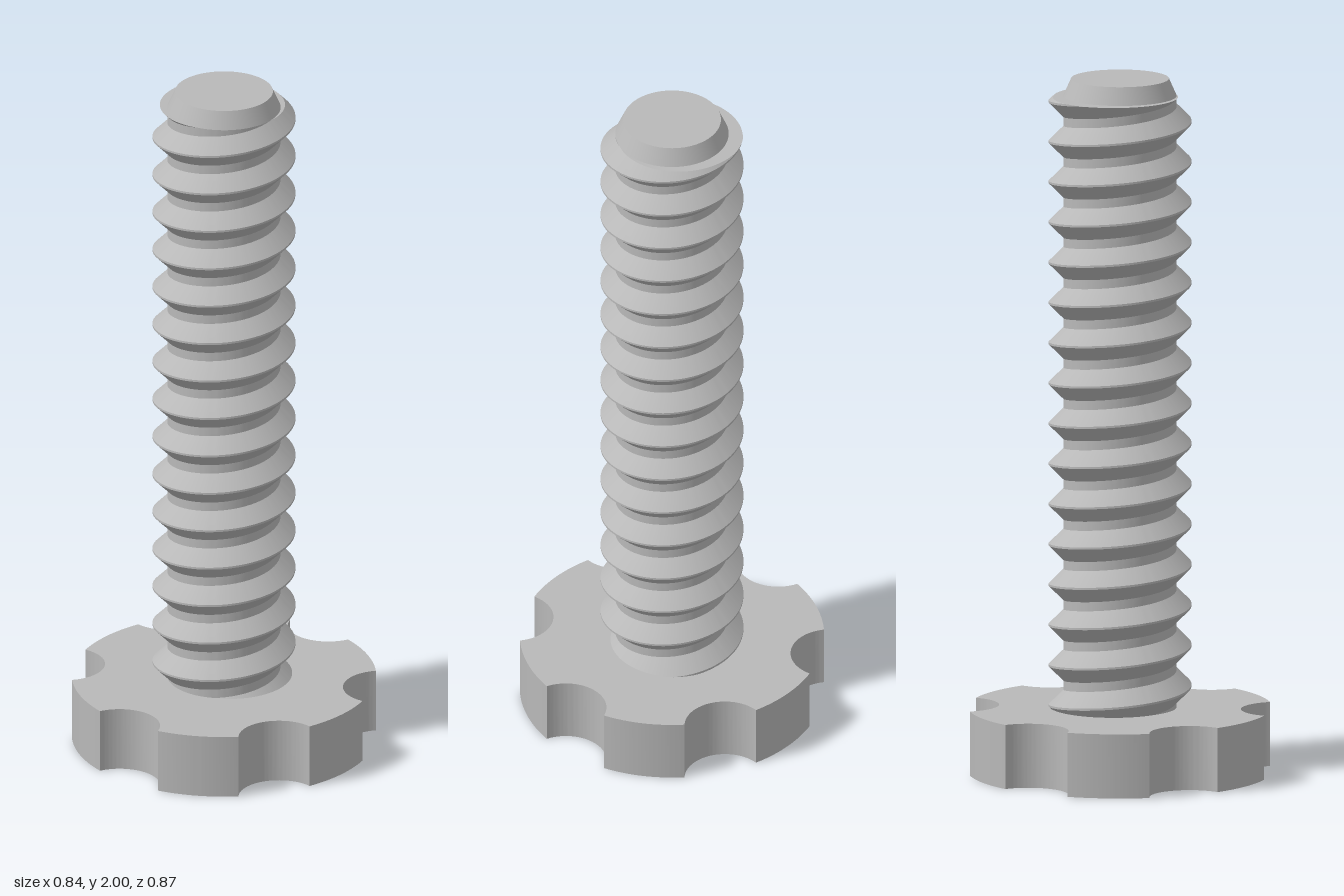
import * as THREE from 'three';
import { toCreasedNormals } from 'three/addons/utils/BufferGeometryUtils.js';

const HEAD_H = 0.185, NECK_Y = 1.95, TOP_Y = 2;
const CORE_R = 0.161, CREST_R = 0.203, TIP_R = 0.139;
const PITCH = 0.1163, CREST_Y = 0.285; // crest height at angle 0
const HALF_CREST = 0.003, HALF_BASE = 0.045;

// Radius of the threaded shaft at angle a and height y
function threadRadius(a, y) {
  const turns = (y - CREST_Y) / PITCH - a / (2 * Math.PI);
  const d = Math.abs(turns - Math.round(turns)) * PITCH;
  const t = THREE.MathUtils.clamp((HALF_BASE - d) / (HALF_BASE - HALF_CREST), 0, 1);
  return CORE_R + t * (CREST_R - CORE_R);
}

// Helical thread trimmed flat at both ends, with the ledge below the tip
function threadGeometry() {
  const segments = 128, lowY = HEAD_H - 0.01, pos = [];
  const polar = (a, r, y) => new THREE.Vector3(r * Math.cos(a), y, -r * Math.sin(a));
  const tri = (a, b, c) => {
    const area = b.clone().sub(a).cross(c.clone().sub(a)).length();
    if (area > 1e-9) pos.push(...a, ...b, ...c);
  };
  const quad = (a, b, c, d) => { tri(a, b, c); tri(a, c, d); };

  const column = (a) => {
    const points = [];
    for (let n = -3; n < 17; n++) {
      for (const offset of [-HALF_BASE, -HALF_CREST, HALF_CREST, HALF_BASE]) {
        const raw = CREST_Y + PITCH * (n + a / (2 * Math.PI)) + offset;
        const y = THREE.MathUtils.clamp(raw, lowY, NECK_Y);
        points.push(polar(a, threadRadius(a, y), y));
      }
    }
    return points;
  };

  for (let i = 0; i < segments; i++) {
    const a0 = (i / segments) * 2 * Math.PI, a1 = ((i + 1) / segments) * 2 * Math.PI;
    const c0 = column(a0), c1 = column(a1);
    for (let j = 0; j < c0.length - 1; j++) quad(c0[j], c1[j], c1[j + 1], c0[j + 1]);
    quad(c0.at(-1), c1.at(-1), polar(a1, CORE_R - 0.005, NECK_Y), polar(a0, CORE_R - 0.005, NECK_Y));
  }
  const geometry = new THREE.BufferGeometry();
  geometry.setAttribute('position', new THREE.Float32BufferAttribute(pos, 3));
  return toCreasedNormals(geometry, 0.4);
}

// Round knob with six circular finger notches
function headGeometry() {
  const R = 0.4325, notchR = 0.115, notchC = 0.46;
  const edgeX = (R * R + notchC * notchC - notchR * notchR) / (2 * notchC);
  const edgeY = Math.sqrt(R * R - edgeX * edgeX);
  const half = Math.atan2(edgeY, edgeX), notchA = Math.atan2(edgeY, edgeX - notchC);
  const shape = new THREE.Shape();
  for (let i = 0; i < 6; i++) {
    const c = (i * Math.PI) / 3;
    shape.absarc(0, 0, R, c - Math.PI / 3 + half, c - half, false);
    shape.absarc(notchC * Math.cos(c), notchC * Math.sin(c), notchR, c - notchA, c + notchA, true);
  }
  const geometry = new THREE.ExtrudeGeometry(shape, { depth: HEAD_H, bevelEnabled: false, curveSegments: 24 });
  geometry.rotateX(-Math.PI / 2);
  return toCreasedNormals(geometry, 0.5);
}

export function createModel() {
  const steel = new THREE.MeshStandardMaterial({ color: 0xb8b8b8 });
  steel.name = 'grey metal';
  const group = new THREE.Group();
  group.name = 'thumbScrew';
  const add = (name, geometry) => {
    const mesh = new THREE.Mesh(geometry, steel);
    mesh.name = name;
    group.add(mesh);
    return mesh;
  };

  add('knobHead', headGeometry());
  add('threadedShaft', threadGeometry());

  // Chamfered end of the shaft
  const tip = add('chamferedTip', new THREE.CylinderGeometry(TIP_R, CORE_R, TOP_Y - NECK_Y, 96));
  tip.position.y = (TOP_Y + NECK_Y) / 2;
  return group;
}
